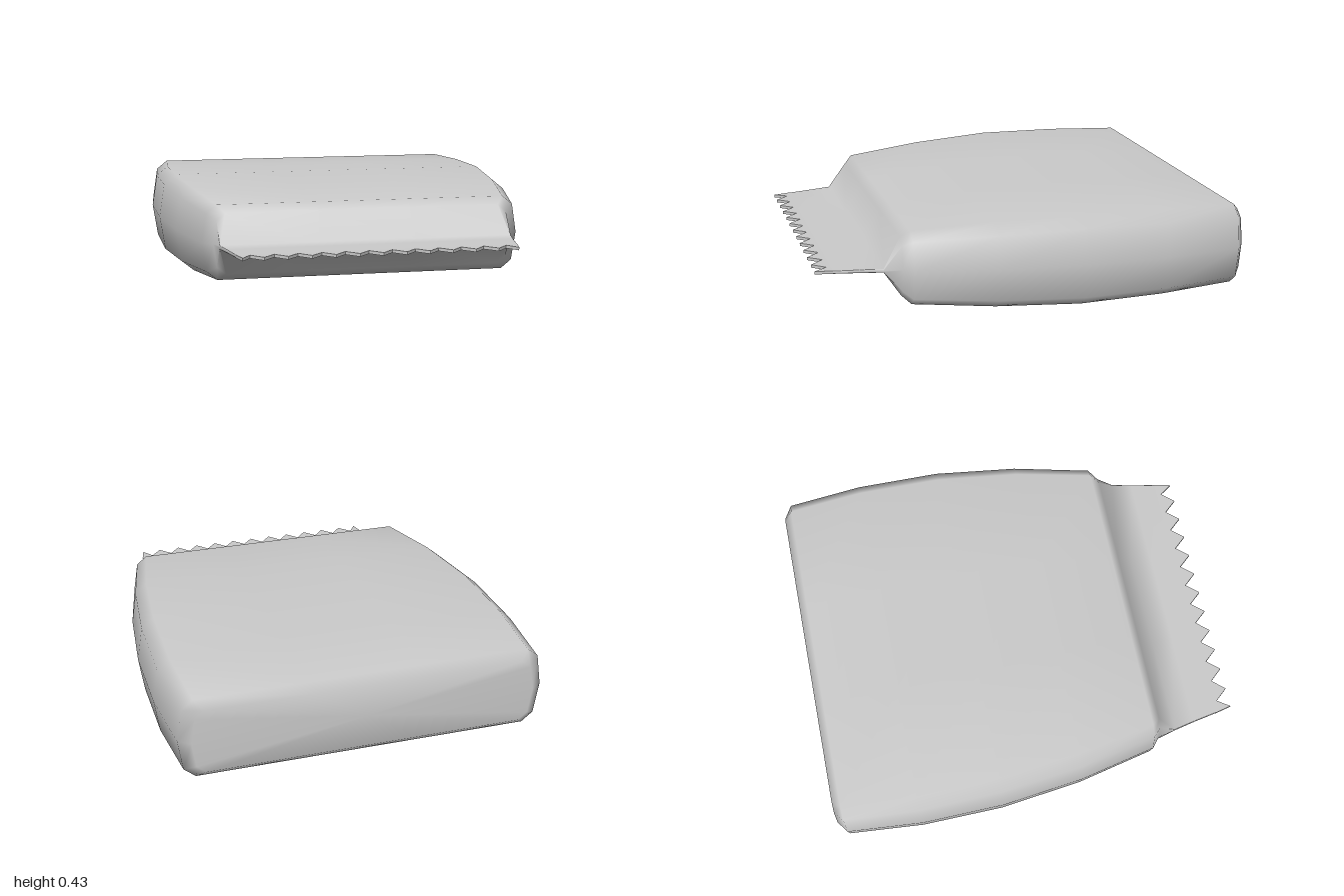
import * as THREE from 'three';

const MID = 0.215; // height of the seam plane

// [z, half width, half height] from the back to the start of the crimped seal
const SECTIONS = [
  [-1, 0.80, 0.155], [-0.96, 0.855, 0.193], [-0.6, 0.885, 0.206], [-0.2, 0.878, 0.215],
  [0.2, 0.83, 0.2], [0.575, 0.748, 0.174], [0.615, 0.70, 0.14], [0.70, 0.682, 0.009],
  [0.8, 0.66, 0.008], [0.92, 0.637, 0.007],
];

// Pillow-shaped outline with chamfered corners, counter-clockwise seen from the front
function ring([z, w, h]) {
  const inset = Math.min(0.085, h * 0.4);
  const quarter = [[w, 0], [w - inset * 0.3, h * 0.77], [w - inset, h], [(w - inset) / 3, h]];
  const half = [...quarter, ...quarter.slice(1).reverse().map(([x, y]) => [-x, y]), [-w, 0]];
  const lower = half.slice(1, -1).reverse().map(([x, y]) => [x, -y]);
  return [...half, ...lower].map(([x, y]) => [x, MID + y, z]);
}

function loft(sections) {
  const rings = sections.map(ring);
  const n = rings[0].length;
  const pos = rings.flat(2);
  const index = [];
  for (let i = 0; i < rings.length - 1; i++) {
    for (let j = 0; j < n; j++) {
      const k = (j + 1) % n;
      const a = i * n + j, b = i * n + k, c = b + n, d = a + n;
      index.push(a, b, d, b, c, d);
    }
  }
  // back panel
  const centre = pos.length / 3;
  pos.push(0, MID, sections[0][0]);
  for (let j = 0; j < n; j++) index.push(centre, (j + 1) % n, j);

  const geo = new THREE.BufferGeometry();
  geo.setAttribute('position', new THREE.Float32BufferAttribute(pos, 3));
  geo.setIndex(index);
  geo.computeVertexNormals();
  return geo;
}

// Thin strip whose front edge is cut in a zigzag
function zigzagStrip() {
  const [z0, w, h] = SECTIONS[SECTIONS.length - 1];
  const pitch = 0.105, valley = 0.94, tip = 1;
  const shape = new THREE.Shape();
  shape.moveTo(-w, z0);
  shape.lineTo(w, z0);
  shape.lineTo(0.618, tip);
  for (let k = 5; k >= -5; k--) {
    shape.lineTo((k + 0.5) * pitch, valley);
    shape.lineTo(k * pitch, tip);
  }
  shape.lineTo(-5.5 * pitch, valley);
  shape.lineTo(-0.618, tip);
  shape.closePath();
  const geo = new THREE.ExtrudeGeometry(shape, { depth: 2 * h, bevelEnabled: false });
  geo.rotateX(Math.PI / 2);
  geo.translate(0, MID + h, 0);
  return geo;
}

export function createModel() {
  const group = new THREE.Group();
  group.name = 'sealedPouch';
  const material = new THREE.MeshStandardMaterial({ color: 0xcccccc, side: THREE.DoubleSide });
  const add = (name, geometry) => {
    const mesh = new THREE.Mesh(geometry, material);
    mesh.name = name;
    group.add(mesh);
  };
  add('pouchBody', loft(SECTIONS));
  add('zigzagSeal', zigzagStrip());
  return group;
}
